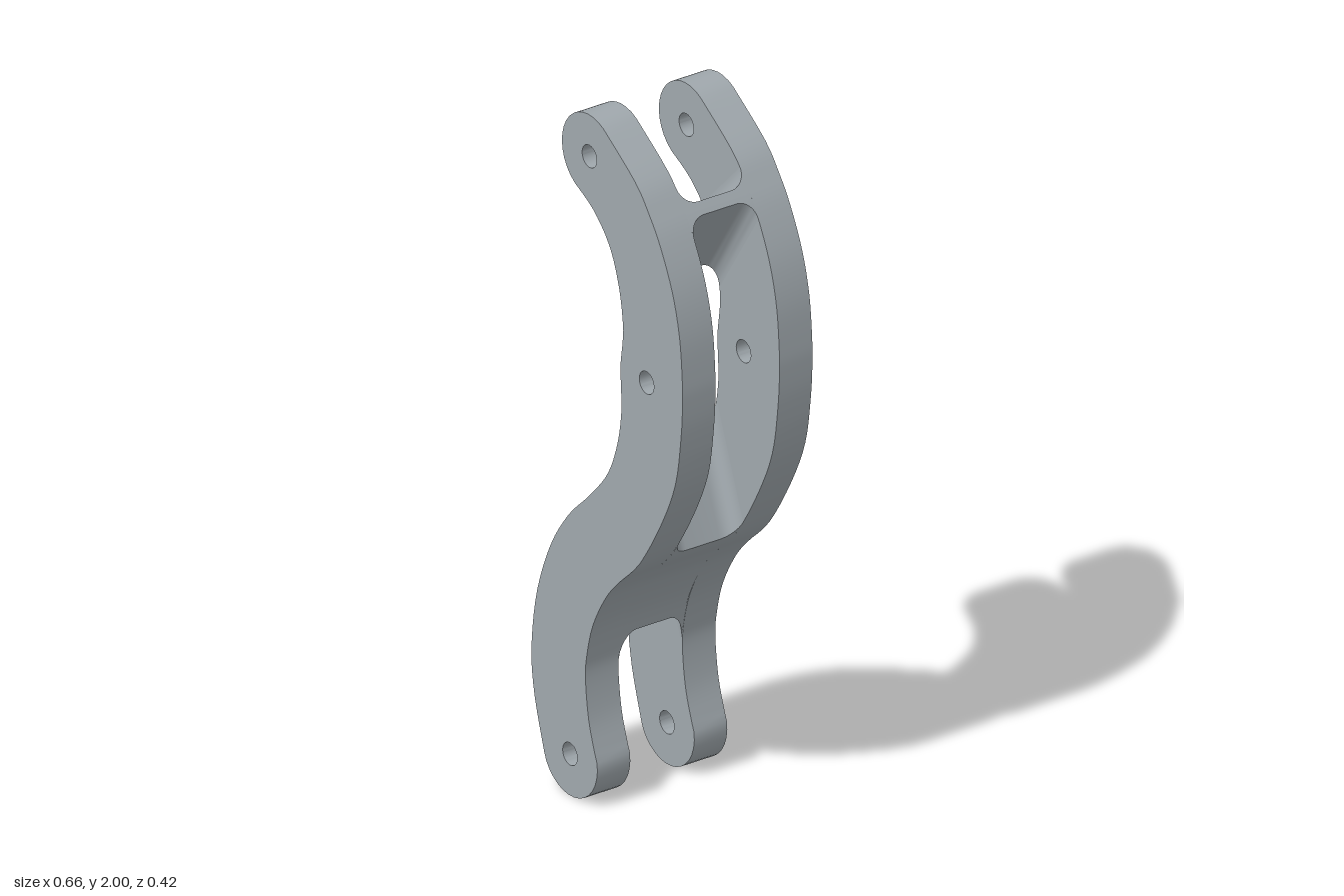
import * as THREE from 'three';
import { toCreasedNormals } from 'three/addons/utils/BufferGeometryUtils.js';

const INNER = 0.103;  // half gap between the side plates
const OUTER = 0.209;  // half total thickness
const FILLET = 0.05;  // rounding where web walls meet the plates

const spline = pts => new THREE.SplineCurve(pts.map(p => new THREE.Vector2(...p)));

// Both long edges of the S shape, running from top to bottom
const rightEdge = spline([
  [-0.018, 1.983], [0.12, 1.885], [0.184, 1.811], [0.231, 1.74], [0.283, 1.629],
  [0.314, 1.512], [0.326, 1.39], [0.327, 1.32], [0.32, 1.22], [0.296, 1.08],
  [0.235, 0.942], [0.14, 0.79], [0.045, 0.695], [-0.01, 0.63], [-0.065, 0.53],
  [-0.092, 0.43], [-0.097, 0.36], [-0.083, 0.25], [-0.055, 0.16],
]);
const leftEdge = spline([
  [-0.145, 1.779], [-0.06, 1.73], [0.01, 1.652], [0.05, 1.55], [0.067, 1.45],
  [0.065, 1.4], [0.056, 1.33], [0.058, 1.27], [0.06, 1.2], [0.043, 1.1],
  [0, 0.995], [-0.08, 0.9], [-0.17, 0.81], [-0.25, 0.69], [-0.31, 0.53],
  [-0.333, 0.36], [-0.32, 0.23], [-0.277, 0.08],
]);

const topPin = [-0.08, 1.88], midPin = [0.17, 1.325], bottomPin = [-0.165, 0.12];

// Points of a rounded end
function arc([x, y], r, from, to, n = 16) {
  return Array.from({ length: n - 1 }, (_, i) => {
    const a = THREE.MathUtils.degToRad(from + (to - from) * (i + 1) / n);
    return new THREE.Vector2(x + r * Math.cos(a), y + r * Math.sin(a));
  });
}

// Side plate with three pin holes
function plateGeometry() {
  const shape = new THREE.Shape([
    ...leftEdge.getPoints(72),
    ...arc(bottomPin, 0.12, 200, 380),
    ...rightEdge.getPoints(72).reverse(),
    ...arc(topPin, 0.12, 59, 237),
  ]);
  for (const [x, y] of [topPin, midPin, bottomPin]) {
    shape.holes.push(new THREE.Path().absarc(x, y, 0.032, 0, Math.PI * 2, true));
  }
  const geo = new THREE.ExtrudeGeometry(shape, {
    depth: OUTER - INNER, bevelEnabled: false, curveSegments: 12,
  });
  return toCreasedNormals(geo, 0.5);
}

// Where an edge curve crosses a wall line moved along its upward normal
function crossing(curve, [a, b], offset) {
  const dx = b[0] - a[0], dy = b[1] - a[1], len = Math.hypot(dx, dy);
  let lo = 0, hi = 1;
  for (let i = 0; i < 40; i++) {
    const t = (lo + hi) / 2, p = curve.getPoint(t);
    const d = ((p.y - a[1]) * dx - (p.x - a[0]) * dy) / len - offset;
    if (d > 0) lo = t; else hi = t;
  }
  return (lo + hi) / 2;
}

// Web between two walls (each given left to right), flaring out to the plates
function webGeometry(topWall, bottomWall, n) {
  const layers = [];
  for (let i = 0; i <= 8; i++) {
    const a = (i / 8) * Math.PI / 2;
    const z = INNER - FILLET + FILLET * Math.sin(a);
    const flare = FILLET * (1 - Math.cos(a));
    layers.push([z, flare]);
    layers.unshift([-z, flare]);
  }
  const pos = [], index = [], count = 2 * (n + 1);
  layers.forEach(([z, flare], k) => {
    const cut = curve => {
      const t0 = crossing(curve, topWall, flare);
      const t1 = crossing(curve, bottomWall, -flare);
      return Array.from({ length: n + 1 }, (_, i) => curve.getPoint(t0 + (t1 - t0) * i / n));
    };
    for (const p of [...cut(leftEdge), ...cut(rightEdge).reverse()]) pos.push(p.x, p.y, z);
    if (k === 0) return;
    for (let i = 0; i < count; i++) {
      const j = (i + 1) % count, lower = (k - 1) * count, upper = k * count;
      index.push(lower + i, lower + j, upper + j, lower + i, upper + j, upper + i);
    }
  });
  const geo = new THREE.BufferGeometry();
  geo.setAttribute('position', new THREE.Float32BufferAttribute(pos, 3));
  geo.setIndex(index);
  return toCreasedNormals(geo, 0.6);
}

export function createModel() {
  const model = new THREE.Group();
  model.name = 'curvedLink';
  const metal = new THREE.MeshStandardMaterial({ color: 0xa0a8ad });
  metal.name = 'greyMetal';

  const add = (name, geometry, z = 0) => {
    const mesh = new THREE.Mesh(geometry, metal);
    mesh.name = name;
    mesh.position.z = z;
    model.add(mesh);
  };

  // Twin side plates
  const plate = plateGeometry();
  add('frontPlate', plate, INNER);
  add('backPlate', plate, -OUTER);

  // Thin web between the top fork and the long window
  add('upperWeb', webGeometry(
    [[0.02, 1.64], [0.187, 1.812]],
    [[0.052, 1.54], [0.207, 1.78]], 6));

  // Solid waist between the window and the bottom fork
  add('waistWeb', webGeometry(
    [[0.03, 1.057], [0.133, 0.782]],
    [[-0.2, 0.775], [-0.085, 0.47]], 28));

  return model;
}
